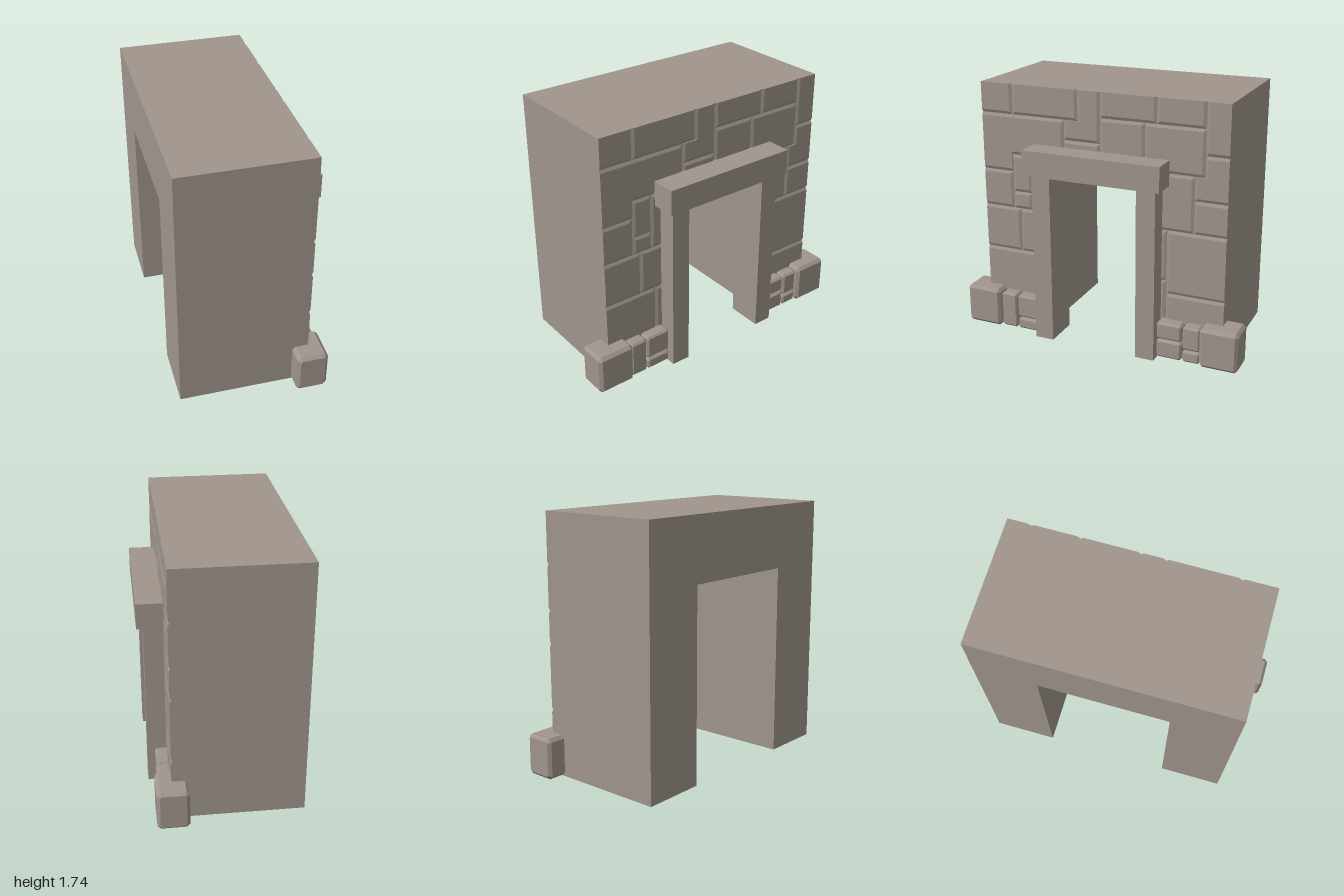
import * as THREE from 'three';

const BACK = -0.525, CORE = 0.338, FACE = 0.348; // depths along x
const HALF = 0.87, TOP = 1.74, DOOR = 0.435, DOOR_TOP = 1.31;

// Wall stones: z0, z1, y0, y1, sides left flush (n = low z, p = high z, b = bottom, t = top)
const STONES = [
  [0.64, 0.87, 1.535, 1.74, 'p t'], [0.16, 0.64, 1.535, 1.74, 't'],
  [0, 0.16, 1.535, 1.74, 'b t'], [0, 0.26, 1.4, 1.535, 't'], [0, 0.26, 1.31, 1.4, 'b'],
  [0.65, 0.87, 1.14, 1.535, 'n p'], [0.435, 0.65, 1.26, 1.535, 'n p'], [0.26, 0.435, 1.31, 1.535, 'p b'],
  [0.51, 0.65, 1.0, 1.26, ''], [0.51, 0.65, 0.88, 1.0, ''], [0.435, 0.51, 0.88, 1.26, 'n'],
  [0.65, 0.87, 0.88, 1.14, 'p'], [0.6, 0.87, 0.57, 0.88, 'p'], [0.435, 0.6, 0.57, 0.88, 'n'],
  [0.485, 0.87, 0, 0.57, 'p b'], [0.435, 0.485, 0, 0.57, 'n b'],
  [-0.39, 0, 1.57, 1.74, 't'], [-0.715, -0.39, 1.57, 1.74, 't'], [-0.87, -0.715, 1.4, 1.74, 'n t'],
  [-0.31, 0, 1.31, 1.57, 'b'], [-0.435, -0.31, 1.31, 1.57, 'n b'], [-0.715, -0.435, 1.26, 1.57, 'p'],
  [-0.87, -0.715, 1.26, 1.4, 'n b'], [-0.87, -0.65, 1.1, 1.26, 'n t'],
  [-0.65, -0.435, 0.88, 1.26, 'p'], [-0.87, -0.65, 0.88, 1.1, 'n'],
  [-0.87, -0.47, 0.44, 0.88, 'n'], [-0.87, -0.47, 0, 0.44, 'n b'],
  [-0.47, -0.435, 0.53, 0.88, 'p'], [-0.47, -0.435, 0, 0.53, 'p b'],
];

// All wall stones as shallow plates, bevelled along their grooves
function stoneFaceGeometry() {
  const pos = [];
  const ring = (x, z0, z1, y0, y1) => [[x, y0, z1], [x, y0, z0], [x, y1, z0], [x, y1, z1]];
  const quad = (a, b, c, d) => pos.push(...a, ...b, ...c, ...a, ...c, ...d);
  for (const [z0, z1, y0, y1, flush] of STONES) {
    const inset = (side) => (flush.includes(side) ? 0 : 0.02);
    const base = ring(CORE, z0, z1, y0, y1);
    const front = ring(FACE, z0 + inset('n'), z1 - inset('p'), y0 + inset('b'), y1 - inset('t'));
    for (let i = 0; i < 4; i++) {
      const j = (i + 1) % 4;
      quad(base[i], base[j], front[j], front[i]);
    }
    quad(...front);
  }
  const g = new THREE.BufferGeometry();
  g.setAttribute('position', new THREE.Float32BufferAttribute(pos, 3));
  g.computeVertexNormals();
  return g;
}

// Box with chamfered edges, given by its limits
function chamferBox(x0, x1, y0, y1, z0, z1, c) {
  const s = new THREE.Shape();
  const w = (x1 - x0) / 2, h = (y1 - y0) / 2, d = z1 - z0;
  const a = w - c, b = h - c;
  // corners are cut so the upright edges are chamfered too
  const k = c * 0.5;
  s.moveTo(-a + k, -b);
  [[a - k, -b], [a, -b + k], [a, b - k], [a - k, b], [-a + k, b], [-a, b - k], [-a, -b + k]]
    .forEach(([x, y]) => s.lineTo(x, y));
  s.closePath();
  const g = new THREE.ExtrudeGeometry(s, {
    depth: d - 2 * c, bevelEnabled: true, bevelSegments: 1, bevelThickness: c, bevelSize: c,
  });
  g.translate((x0 + x1) / 2, (y0 + y1) / 2, z0 + c);
  return g;
}

export function createModel() {
  const group = new THREE.Group();
  const stone = new THREE.MeshStandardMaterial({ color: 0xa0958d });
  stone.name = 'warm grey stone';

  const add = (name, geometry) => {
    const m = new THREE.Mesh(geometry, stone);
    m.name = name;
    group.add(m);
  };
  const box = (name, x0, x1, y0, y1, z0, z1) => add(name,
    new THREE.BoxGeometry(x1 - x0, y1 - y0, z1 - z0)
      .translate((x0 + x1) / 2, (y0 + y1) / 2, (z0 + z1) / 2));

  // Thick wall with a passage through it
  const outline = new THREE.Shape([
    [-HALF, 0], [-DOOR, 0], [-DOOR, DOOR_TOP], [DOOR, DOOR_TOP],
    [DOOR, 0], [HALF, 0], [HALF, TOP], [-HALF, TOP],
  ].map(([x, y]) => new THREE.Vector2(x, y)));
  const wall = new THREE.ExtrudeGeometry(outline, { depth: CORE - BACK, bevelEnabled: false });
  wall.rotateY(Math.PI / 2).translate(BACK, 0, 0);
  add('wall', wall);
  add('stoneFacing', stoneFaceGeometry());

  // Door frame
  box('lintel', 0.22, 0.52, 1.18, 1.35, -0.48, 0.48);
  box('leftPost', 0.225, 0.475, 0, 1.18, -0.437, -0.307);
  box('rightPost', 0.225, 0.475, 0, 1.18, 0.307, 0.437);

  // Corner blocks and small footing stones
  for (const s of [-1, 1]) {
    const block = (name, x0, x1, y0, y1, a, b, c) =>
      add(name, chamferBox(x0, x1, y0, y1, Math.min(s * a, s * b), Math.max(s * a, s * b), c));
    const footing = (y0, y1, a, b) => block('footingStone', 0.25, 0.425, y0, y1, a, b, 0.012);
    block('cornerBlock', 0.24, 0.45, 0.005, 0.283, 0.74, 1, 0.02);
    if (s > 0) {
      footing(0.008, 0.26, 0.618, 0.738);
      footing(0.095, 0.26, 0.437, 0.61);
      footing(0.008, 0.088, 0.437, 0.61);
    } else {
      footing(0.095, 0.26, 0.618, 0.738);
      footing(0.008, 0.088, 0.618, 0.738);
      footing(0.142, 0.26, 0.437, 0.61);
      footing(0.008, 0.134, 0.437, 0.61);
    }
  }
  return group;
}
